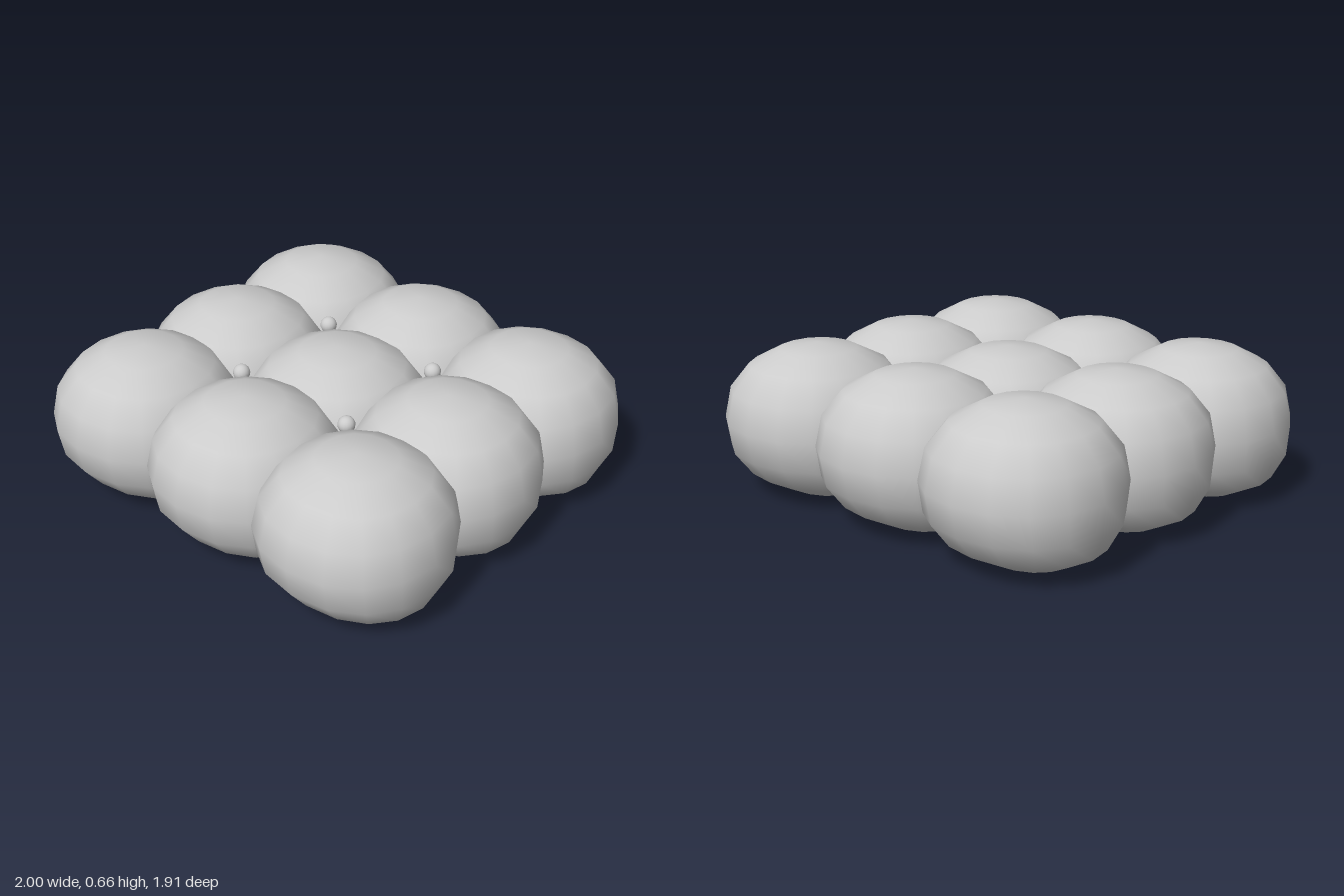
import * as THREE from 'three';
import { mergeVertices } from 'three/addons/utils/BufferGeometryUtils.js';

// Rounds a coordinate outward a little, so the sphere becomes slightly boxy
const puff = (v) => Math.sign(v) * Math.pow(Math.abs(v), 0.93);

// One stuffed lobe: a coarse, smooth-shaded ball that sags wider in x towards its underside
function lobeGeometry() {
  let g = new THREE.SphereGeometry(1, 16, 8);
  g.deleteAttribute('uv');
  g.deleteAttribute('normal');
  g = mergeVertices(g, 1e-4);
  const p = g.attributes.position;
  for (let i = 0; i < p.count; i++) {
    const y = puff(p.getY(i));
    const sag = y < 0 ? 1 + 0.36 * y * y : 1;
    p.setXYZ(i, 0.4 * sag * puff(p.getX(i)), 0.328 * y, 0.4 * puff(p.getZ(i)));
  }
  g.computeVertexNormals();
  return g;
}

export function createModel() {
  const group = new THREE.Group();
  const material = new THREE.MeshStandardMaterial({ color: 0xcccccc });
  const add = (name, geometry, x, y, z) => {
    const mesh = new THREE.Mesh(geometry, material);
    mesh.name = name;
    mesh.position.set(x, y, z);
    group.add(mesh);
    return mesh;
  };

  // Three by three cushion lobes, the middle one a little flatter
  const lobe = lobeGeometry();
  for (const i of [-1, 0, 1]) {
    for (const k of [-1, 0, 1]) {
      const mesh = add('cushionLobe', lobe, 0.6 * i, 0.331, 0.553 * k);
      if (i === 0 && k === 0) mesh.scale.y = 0.96;
    }
  }

  // Tufting buttons where four lobes meet
  const button = new THREE.SphereGeometry(0.037, 16, 12);
  for (const i of [-1, 1]) {
    for (const k of [-1, 1]) add('tuftButton', button, 0.3 * i, 0.52, 0.276 * k);
  }
  return group;
}
